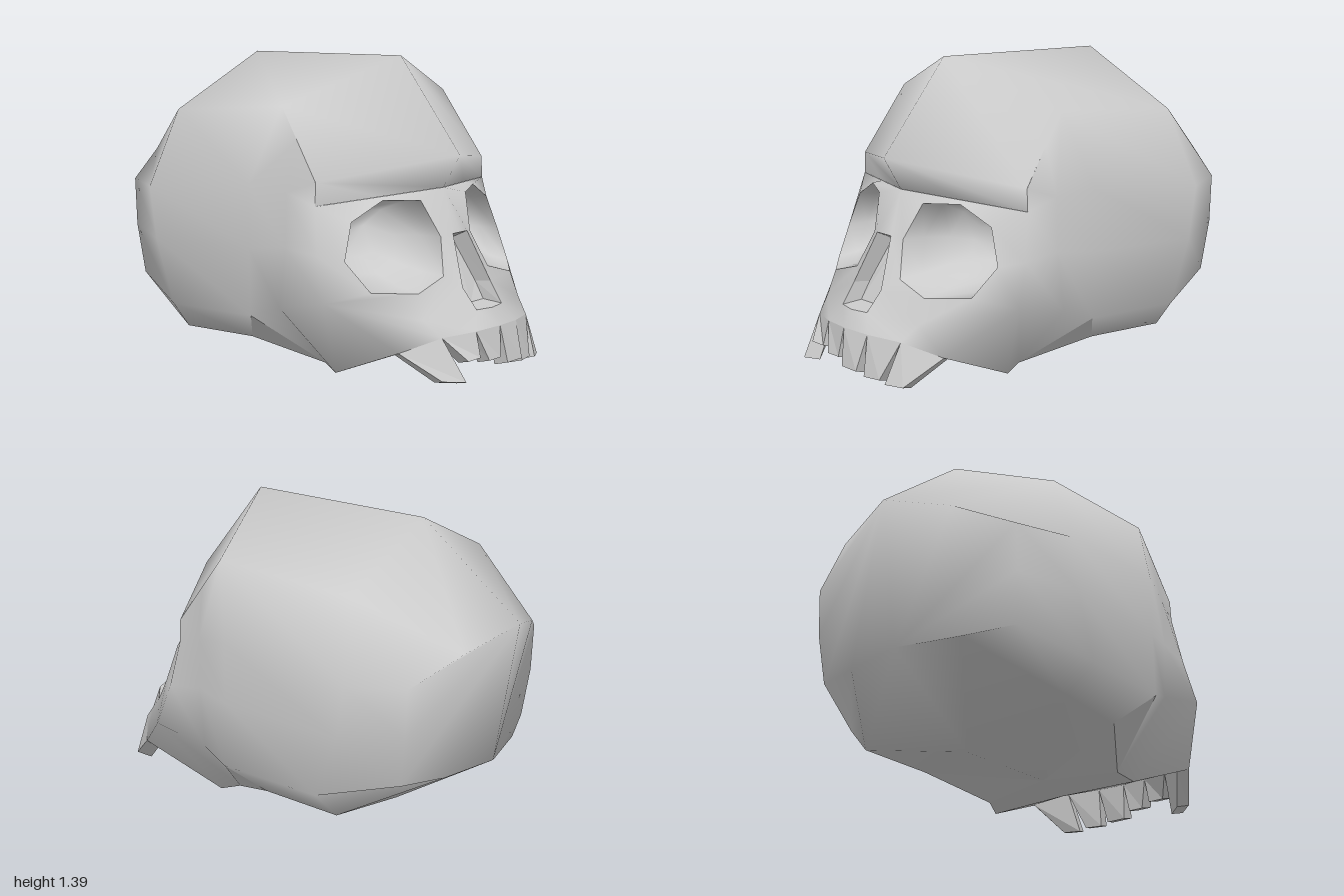
import * as THREE from 'three';
import { mergeVertices } from 'three/addons/utils/BufferGeometryUtils.js';

const flip = ([x, y, z]) => [-x, y, z];

// Quads between two rows of points
const strip = (a, b) => a.slice(1).map((p, i) => [a[i], p, b[i + 1], b[i]]);
const closed = (loop) => [...loop, loop[0]];

// Mesh from polygons (fanned); optionally mirrored across x, smooth or faceted
function shell(name, polygons, { mirror = true, smooth = true } = {}) {
  const all = mirror ? [...polygons, ...polygons.map((p) => p.map(flip).reverse())] : polygons;
  const pos = [];
  for (const p of all)
    for (let i = 1; i < p.length - 1; i++) pos.push(...p[0], ...p[i], ...p[i + 1]);
  let geo = new THREE.BufferGeometry();
  geo.setAttribute('position', new THREE.Float32BufferAttribute(pos, 3));
  if (smooth) geo = mergeVertices(geo, 1e-4);
  geo.computeVertexNormals();
  const mesh = new THREE.Mesh(geo, new THREE.MeshStandardMaterial({ color: 0xcccccc, flatShading: !smooth }));
  mesh.name = name;
  return mesh;
}

export function createModel() {
  const group = new THREE.Group();
  group.name = 'skull';

  // Cranium half-sections, crown to base: front, rear, back of head
  const front = [[0, 1.4, 0.4], [0.56, 1.2, 0.2], [0.67, 0.86, 0.1], [0.67, 0.58, 0.1],
    [0.67, 0.28, 0.11], [0.53, 0.14, -0.02], [0, 0.05, 0.2]];
  const rear = [[0, 1.38, -0.5], [0.54, 1.14, -0.48], [0.67, 0.79, -0.54], [0.67, 0.55, -0.5],
    [0.67, 0.26, -0.39], [0.55, 0.13, -0.42], [0, 0.01, -0.38]];
  const back = [[0, 0.98, -1], [0.3, 0.9, -0.9], [0.55, 0.79, -0.78], [0.55, 0.57, -0.77],
    [0.53, 0.34, -0.74], [0.3, 0.32, -0.82], [0, 0.32, -0.89]];

  // Brow ridge; near-identical copies just beneath keep its edge sharp
  const browMid = [0, 0.98, 0.74], browEnd = [0.585, 0.89, 0.42], browTail = [0.57, 1.06, 0.3];
  const lipMid = [0, 0.83, 0.65], lipEnd = [0.59, 0.79, 0.42];
  const under = ([x, y, z]) => [x, y - 0.0005, z];
  const browSide = under(browEnd), faceTop = under(lipMid), faceCorner = under(lipEnd);

  // Eye opening and the face contour round it
  const eye = [[0.16, 0.79, 0.65], [0.32, 0.8, 0.57], [0.48, 0.72, 0.53], [0.545, 0.56, 0.55],
    [0.49, 0.43, 0.65], [0.33, 0.42, 0.78], [0.16, 0.47, 0.78], [0.105, 0.63, 0.72]];
  const noseTop = [0.05, 0.64, 0.745], noseSide = [0.1, 0.42, 0.84], noseBase = [0.09, 0.33, 0.91];
  const cheek = [0.65, 0.39, 0.52], cheekFront = [0.34, 0.31, 0.82], cheekSide = [0.62, 0.58, 0.46];
  const lipHalf = under(lipMid.map((v, k) => (v + lipEnd[k]) / 2));
  const contour = [faceTop, lipHalf, faceCorner, cheekSide, cheek, cheekFront, noseSide, noseTop];
  const bridge = [0, 0.64, 0.745], noseFloor = [0, 0.33, 0.93];

  // Temple, gum line and jaw corners
  const temple = [[0.62, 0.84, 0.28], [0.627, 0.6, 0.28], [0.635, 0.33, 0.25]];
  const gum = [[0, 0.255, 0.97], [0.145, 0.25, 0.95], [0.305, 0.24, 0.89], [0.45, 0.18, 0.77]];
  const jaw = [0.39, 0.01, 0.36], jawBack = [0.36, 0.035, 0.27], palateMid = [0, 0.02, 0.36];

  group.add(shell('craniumAndFace', [
    ...strip(front, rear), ...strip(rear, back), back,
    // forehead and brow
    [front[0], browMid, browEnd, browTail, front[1]],
    [browMid, lipMid, lipHalf.map((v, k) => (k === 1 ? v + 0.0005 : v)), lipEnd, browEnd],
    [front[1], browTail, temple[0], front[2]],
    [browTail, browSide, temple[0]],
    [browSide, faceCorner, temple[0]],
    // temple and side of the face
    ...strip([faceCorner, cheekSide, cheek], temple),
    ...strip(temple, front.slice(2, 5)),
    // face round the eye and nose
    ...strip(closed(eye), closed(contour)),
    [faceTop, bridge, noseTop], [noseSide, noseBase, cheekFront],
    // upper jaw
    ...strip([noseFloor, noseBase, cheekFront, cheek], gum).map((q) => [q[0], q[3], q[2], q[1]]),
    [cheek, gum[3], jaw], [cheek, jaw, jawBack, temple[2]], [temple[2], jawBack, front[4]],
  ]));

  // Eye sockets: shrinking loops pushed back into the head
  const centre = [0.32, 0.6, 0.65];
  const loop = (s, depth) => eye.map((p) => p.map((v, k) => centre[k] + (v - centre[k]) * s - (k === 2 ? depth : 0)));
  const loops = [eye, loop(0.92, 0.1), loop(0.7, 0.19), loop(0.35, 0.24)];
  const socket = loops.slice(1).flatMap((inner, i) => strip(closed(inner), closed(loops[i])));
  group.add(shell('eyeSockets', [...socket, [...loops[3]].reverse()]));

  // Nose cavity
  const rim = [bridge, noseTop, noseSide, noseBase, noseFloor];
  const deep = [[0, 0.6, 0.66], [0.05, 0.6, 0.66], [0.094, 0.41, 0.76], [0.09, 0.335, 0.81], [0, 0.335, 0.81]];
  group.add(shell('noseCavity', [...strip(deep, rim), [...deep].reverse()], { smooth: false }));

  // Palate and underside of the jaw
  const inward = ([x, y, z]) => [x * 0.92, y - 0.02, z * 0.93];
  group.add(shell('palate', [
    [palateMid, jaw, ...gum.map(inward).reverse()],
    [jaw, gum[3], inward(gum[3])],
    [jaw, palateMid, front[6], jawBack],
    [jawBack, front[6], front[5]], [jawBack, front[5], front[4]],
  ], { smooth: false }));

  // Uneven teeth: left and right tips of each, hung between the gum notches
  const notches = [...gum.slice(1).reverse().map(flip), ...gum];
  const tips = [
    [[-0.35, 0.065, 0.93], [-0.275, 0.06, 1]], [[-0.235, 0.14, 0.98], [-0.15, 0.14, 0.98]],
    [[-0.1, 0.12, 0.99], [-0.02, 0.12, 0.99]], [[0.02, 0.09, 1], [0.125, 0.09, 1]],
    [[0.155, 0.07, 0.98], [0.24, 0.07, 0.96]], [[0.28, 0.06, 0.96], [0.355, 0.055, 0.92]],
  ];
  const teeth = new THREE.Group();
  teeth.name = 'teeth';
  tips.forEach(([l, r], i) => {
    const face = [notches[i], l, r, notches[i + 1]];
    const inner = face.map(inward);
    teeth.add(shell('tooth', [face, [...inner].reverse(), ...strip(inner, face)], { mirror: false, smooth: false }));
  });
  group.add(teeth);
  return group;
}
